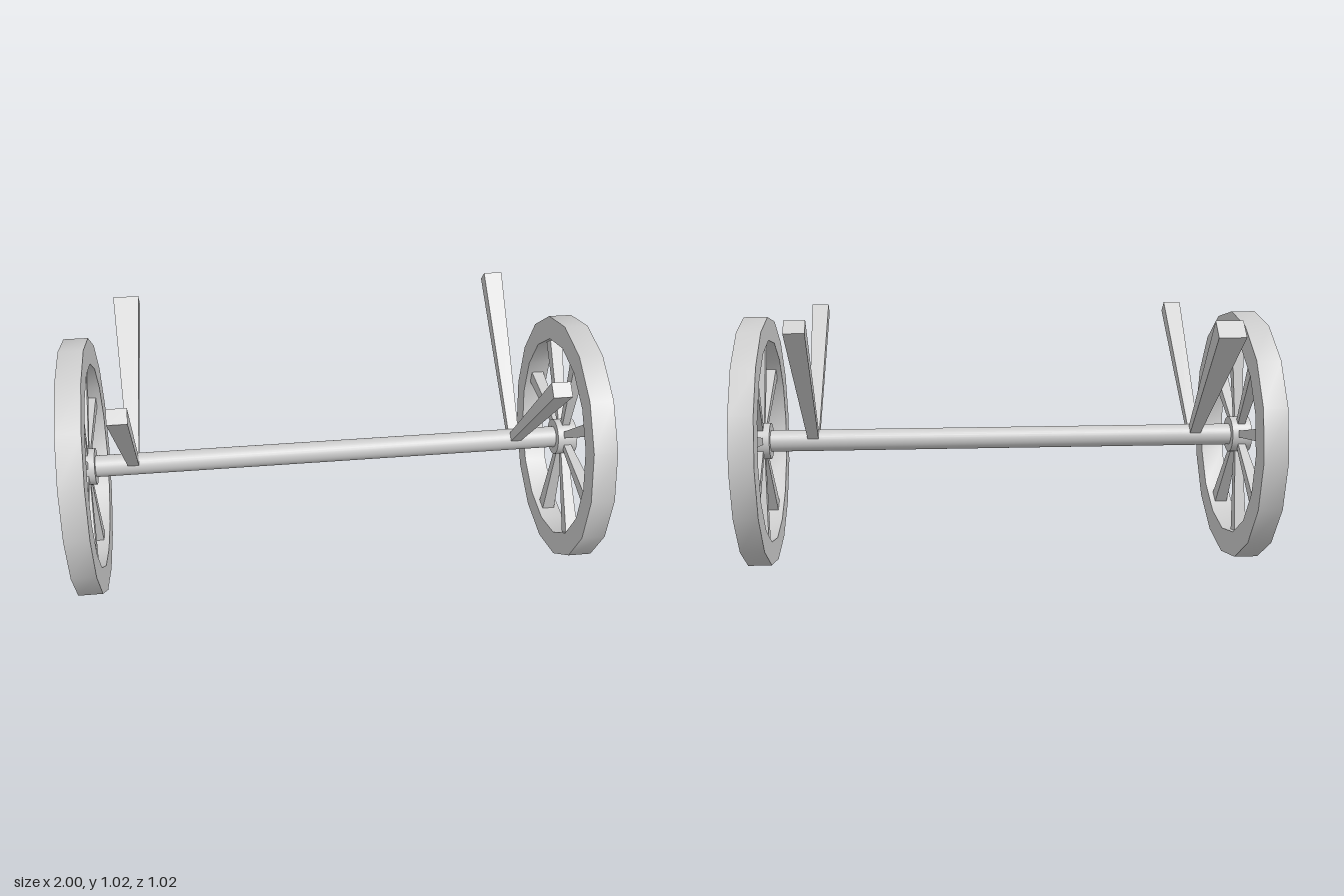
import * as THREE from 'three';
import { toCreasedNormals } from 'three/addons/utils/BufferGeometryUtils.js';

const material = new THREE.MeshStandardMaterial({ color: 0xcccccc });
const CENTER_Y = 0.5, CENTER_Z = 0.014;

function part(name, geometry) {
  const mesh = new THREE.Mesh(geometry, material);
  mesh.name = name;
  return mesh;
}

// Radial bar from radius r0 to r1; start and end are [x width, depth].
// The angle leans it from straight up towards +z.
function taperedBar(name, r0, r1, start, end, angle) {
  const geometry = new THREE.BoxGeometry(1, 1, 1);
  const p = geometry.attributes.position;
  for (let i = 0; i < p.count; i++) {
    const outer = p.getY(i) > 0;
    const [w, d] = outer ? end : start;
    p.setXYZ(i, p.getX(i) * w, outer ? r1 : r0, p.getZ(i) * d);
  }
  geometry.computeVertexNormals();
  const bar = part(name, geometry);
  bar.rotation.x = angle;
  return bar;
}

// Cylinder lying along x
function rod(name, radius, length, sides) {
  const geometry = new THREE.CylinderGeometry(radius, radius, length, sides);
  geometry.rotateZ(Math.PI / 2);
  return part(name, geometry);
}

function polygon(radius, sides, Type) {
  const points = [];
  for (let i = 0; i < sides; i++) {
    const a = (i / sides) * Math.PI * 2;
    points.push(new THREE.Vector2(radius * Math.cos(a), radius * Math.sin(a)));
  }
  return new Type(points);
}

function wheel(name, radius, width) {
  const group = new THREE.Group();
  group.name = name;

  // Sixteen-sided rim, smooth around its circumference
  const shape = polygon(radius, 16, THREE.Shape);
  shape.holes.push(polygon(0.398, 16, THREE.Path));
  let rim = new THREE.ExtrudeGeometry(shape, { depth: width, bevelEnabled: false });
  rim.translate(0, 0, -width / 2);
  rim.rotateY(Math.PI / 2);
  rim = toCreasedNormals(rim, 0.6);
  group.add(part('rim', rim));

  group.add(rod('hub', 0.071, 0.078, 32));

  // Eight spokes widening outwards
  for (let i = 0; i < 8; i++) {
    const angle = (i / 8) * Math.PI * 2 + Math.PI / 16;
    group.add(taperedBar('spoke', 0.05, 0.4, [0.028, 0.025], [0.05, 0.052], angle));
  }
  return group;
}

export function createModel() {
  const model = new THREE.Group();
  model.name = 'wheelsAndAxle';

  const assembly = new THREE.Group();
  assembly.name = 'assembly';
  assembly.position.set(0, CENTER_Y, CENTER_Z);
  model.add(assembly);

  assembly.add(rod('axle', 0.042, 1.86, 32));

  const rightWheel = wheel('rightWheel', 0.497, 0.092);
  rightWheel.position.x = -0.954;
  const leftWheel = wheel('leftWheel', 0.488, 0.09);
  leftWheel.position.x = 0.955;
  assembly.add(rightWheel, leftWheel);

  // Diagonal arms in pairs, one leaning forward and one back
  const arms = [
    ['rightFrontArm', -0.77, 0.67, [0.07, 0.056], 1],
    ['rightBackArm', -0.77, 0.683, [0.1, 0.077], -1],
    ['leftFrontArm', 0.75, 0.67, [0.068, 0.056], 1],
    ['leftBackArm', 0.75, 0.715, [0.074, 0.058], -1],
  ];
  for (const [name, x, length, end, side] of arms) {
    const arm = taperedBar(name, 0.035, length, [0.042, 0.035], end, side * Math.PI / 4);
    arm.position.x = x;
    assembly.add(arm);
  }

  return model;
}
